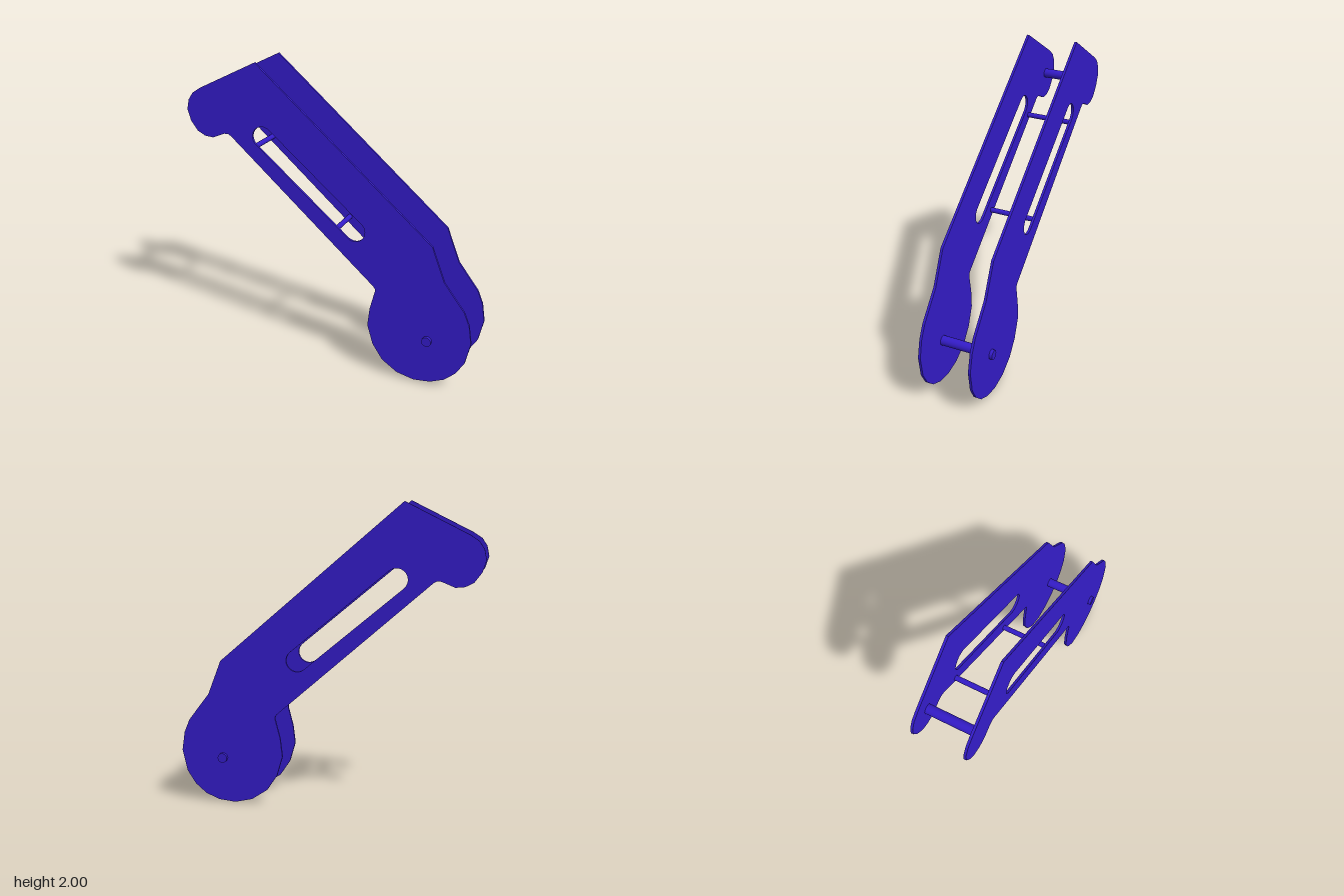
import * as THREE from 'three';

const TILT = -0.039;   // whole arm leans slightly backwards
const MID_Y = 1.007;   // height of the tilt pivot in outline coordinates
const PLATE_Z = 0.168; // distance of each plate from the middle
const THICK = 0.016;

// Outline of one side plate, clockwise from the top corner
const OUTLINE = [
  [-0.5, 2], [0.71, 0.973], [0.8, 0.747], [0.94, 0.567], [0.977, 0.48], [0.997, 0.355],
  [0.965, 0.21], [0.91, 0.123], [0.837, 0.06], [0.746, 0.022], [0.634, 0.01], [0.516, 0.037],
  [0.41, 0.107], [0.34, 0.21], [0.3, 0.342], [0.313, 0.465], [0.345, 0.594], [0.345, 0.61],
  [0.334, 0.626], [-0.682, 1.503], [-0.703, 1.514], [-0.73, 1.512], [-0.815, 1.476],
  [-0.874, 1.481], [-0.928, 1.508], [-0.976, 1.572], [-1, 1.645], [-0.987, 1.711],
  [-0.955, 1.76], [-0.9, 1.797],
];

function plateGeometry() {
  const shape = new THREE.Shape(OUTLINE.map(([x, y]) => new THREE.Vector2(x, y - MID_Y)));
  // Rounded slot along the arm
  const a = new THREE.Vector2(-0.452, 1.521 - MID_Y);
  const b = new THREE.Vector2(0.193, 0.988 - MID_Y);
  const angle = Math.atan2(b.y - a.y, b.x - a.x);
  const slot = new THREE.Path();
  slot.absarc(b.x, b.y, 0.071, angle - Math.PI / 2, angle + Math.PI / 2, false);
  slot.absarc(a.x, a.y, 0.071, angle + Math.PI / 2, angle + Math.PI * 1.5, false);
  slot.closePath();
  shape.holes.push(slot);
  const geometry = new THREE.ExtrudeGeometry(shape, { depth: THICK, bevelEnabled: false, curveSegments: 8 });
  return geometry.translate(0, 0, -THICK / 2);
}

export function createModel() {
  const model = new THREE.Group();
  model.name = 'slottedArm';
  const material = new THREE.MeshStandardMaterial({ color: 0x341cc8 });

  const arm = new THREE.Group();
  arm.name = 'tiltedArm';
  arm.position.set(0, 1, -0.002);
  arm.rotation.x = TILT;
  model.add(arm);

  // Two matching side plates
  const geometry = plateGeometry();
  for (const [name, side] of [['frontPlate', 1], ['backPlate', -1]]) {
    const plate = new THREE.Mesh(geometry, material);
    plate.name = name;
    plate.position.z = side * PLATE_Z;
    arm.add(plate);
  }

  // Cross rods joining the plates: name, x, y, radius, half length
  const rods = [
    ['upperRod', -0.835, 1.645, 0.031, PLATE_Z],
    ['upperSpacer', -0.547, 1.42, 0.017, PLATE_Z],
    ['lowerSpacer', 0.028, 0.932, 0.017, PLATE_Z],
    ['axle', 0.71, 0.31, 0.032, 0.197],
  ];
  for (const [name, x, y, radius, half] of rods) {
    const rod = new THREE.Mesh(new THREE.CylinderGeometry(radius, radius, half * 2, 20), material);
    rod.name = name;
    rod.rotation.x = Math.PI / 2;
    rod.position.set(x, y - 1, 0);
    arm.add(rod);
  }
  return model;
}
